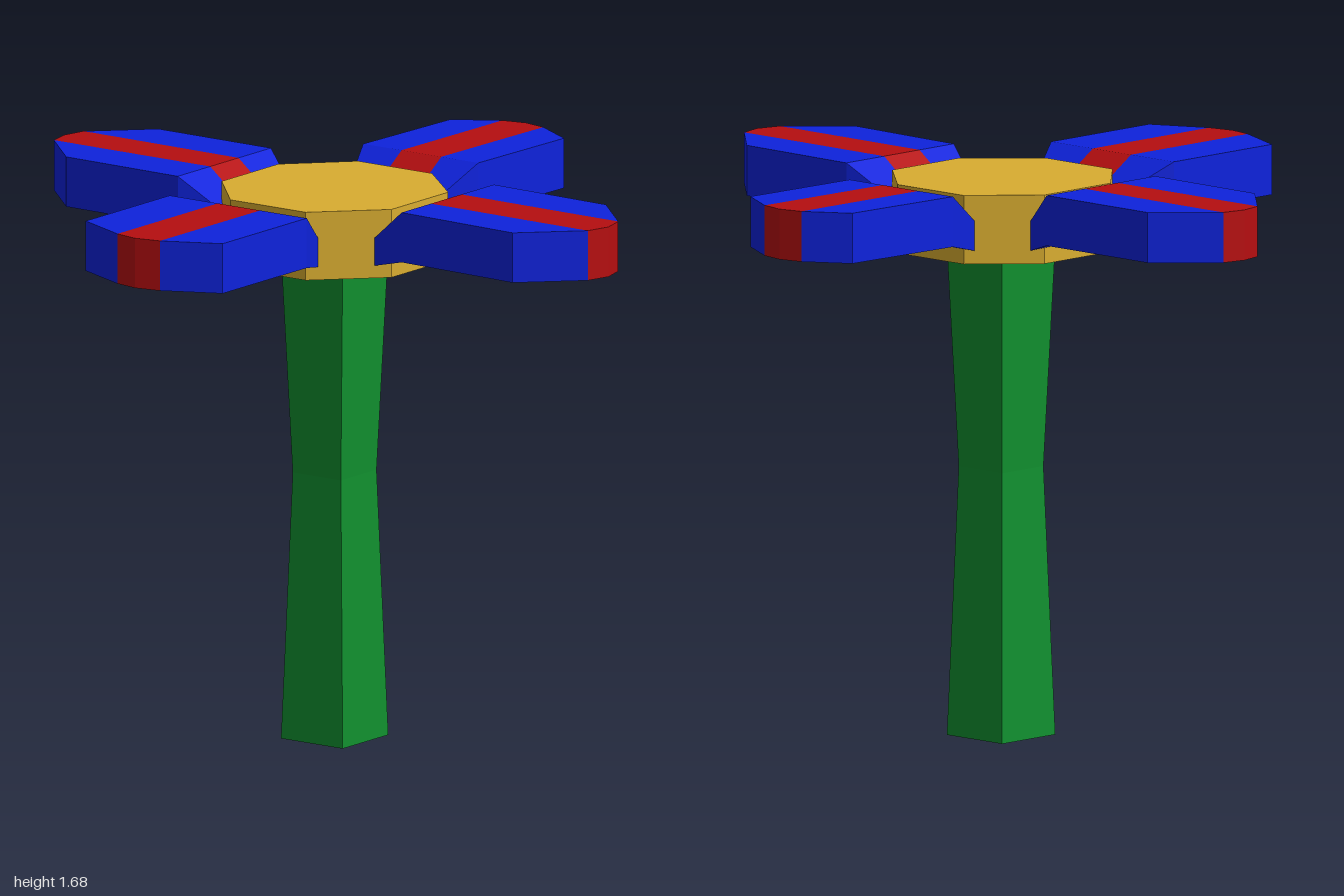
import * as THREE from 'three';

function makeMaterial(name, color) {
  const m = new THREE.MeshStandardMaterial({ color, flatShading: true, side: THREE.DoubleSide });
  m.name = name;
  return m;
}

// Mesh from convex polygons given as corner lists (counter-clockwise from outside)
function polygonMesh(name, polygons, material) {
  const pos = [];
  for (const p of polygons) {
    for (let i = 1; i < p.length - 1; i++) pos.push(...p[0], ...p[i], ...p[i + 1]);
  }
  const geo = new THREE.BufferGeometry();
  geo.setAttribute('position', new THREE.Float32BufferAttribute(pos, 3));
  geo.computeVertexNormals();
  const mesh = new THREE.Mesh(geo, material);
  mesh.name = name;
  return mesh;
}

// Petal along +z. Each row: [z, left, stripe left, stripe right, right, bottom y, top y]
function makePetal(name, rows, tip, blue, red) {
  const body = [], stripe = [];
  const low = (r, i) => [r[i], r[5], r[0]];
  const high = (r, i) => [r[i], r[6], r[0]];
  for (let k = 0; k < rows.length - 1; k++) {
    const a = rows[k], b = rows[k + 1];
    for (let i = 1; i < 4; i++) {
      (i === 2 ? stripe : body).push([high(a, i), high(b, i), high(b, i + 1), high(a, i + 1)]);
    }
    body.push([low(a, 1), low(a, 4), low(b, 4), low(b, 1)]);
    body.push([low(a, 1), low(b, 1), high(b, 1), high(a, 1)]);
    body.push([low(b, 4), low(a, 4), high(a, 4), high(b, 4)]);
  }
  // Inner end
  const s = rows[0], e = rows[rows.length - 1];
  body.push([low(s, 4), low(s, 1), high(s, 1), high(s, 4)]);
  // Pointed tip
  const tipLow = [tip[0], e[5], tip[1]], tipHigh = [tip[0], e[6], tip[1]];
  stripe.push([high(e, 1), tipHigh, high(e, 4)]);
  stripe.push([low(e, 1), tipLow, tipHigh, high(e, 1)]);
  stripe.push([tipLow, low(e, 4), high(e, 4), tipHigh]);
  body.push([low(e, 1), low(e, 4), tipLow]);

  const group = new THREE.Group();
  group.name = name;
  group.add(polygonMesh('petalBody', body, blue), polygonMesh('petalStripe', stripe, red));
  return group;
}

export function createModel() {
  const green = makeMaterial('stem green', 0x11902f);
  const gold = makeMaterial('hub gold', 0xd9ad30);
  const blue = makeMaterial('petal blue', 0x0e22dc);
  const red = makeMaterial('stripe red', 0xb50e10);
  const model = new THREE.Group();
  model.name = 'flower';

  // Square stem, open at the ends and pinched at the waist
  const stemGeo = new THREE.CylinderGeometry(1, 1, 1.457, 4, 2, true, Math.PI / 4);
  const p = stemGeo.attributes.position;
  for (let i = 0; i < p.count; i++) {
    const waist = Math.abs(p.getY(i)) < 0.1;
    const half = waist ? 0.088 : 0.1125;
    p.setXYZ(i, 0.022 + Math.sign(p.getX(i)) * half,
      waist ? 0.8 : p.getY(i) + 0.7285, -0.02 + Math.sign(p.getZ(i)) * half);
  }
  stemGeo.computeVertexNormals();
  const stem = new THREE.Mesh(stemGeo, green);
  stem.name = 'stem';
  model.add(stem);

  // Octagonal hub
  const outline = [[-0.13, -0.3], [0.15, -0.3], [0.32, -0.115], [0.32, 0.155],
    [0.15, 0.32], [-0.13, 0.32], [-0.31, 0.155], [-0.31, -0.12]];
  const shape = new THREE.Shape(outline.map(([x, y]) => new THREE.Vector2(x, y)));
  const hubGeo = new THREE.ExtrudeGeometry(shape, { depth: 0.205, bevelEnabled: false });
  hubGeo.rotateX(-Math.PI / 2);
  const hub = new THREE.Mesh(hubGeo, gold);
  hub.name = 'hub';
  hub.position.y = 1.455;
  model.add(hub);

  // Four petals: inner, shoulder, outer and tip rows, then the tip point
  const petals = [
    ['frontPetal', 0, [[0.25, -0.16, -0.07, 0.08, 0.175], [0.4, -0.215, -0.07, 0.08, 0.24],
      [0.82, -0.235, -0.078, 0.072, 0.225], [0.98, -0.08, -0.08, 0.07, 0.07]], [-0.005, 1]],
    ['leftPetal', Math.PI / 2, [[0.27, -0.13, -0.06, 0.085, 0.168], [0.44, -0.195, -0.06, 0.085, 0.225],
      [0.85, -0.205, -0.068, 0.08, 0.21], [0.93, -0.07, -0.07, 0.08, 0.08]], [0.005, 0.946]],
    ['backPetal', Math.PI, [[0.27, -0.17, -0.075, 0.065, 0.16], [0.41, -0.235, -0.075, 0.065, 0.225],
      [0.825, -0.24, -0.083, 0.062, 0.215], [0.985, -0.085, -0.085, 0.06, 0.06]], [-0.01, 1]],
    ['rightPetal', -Math.PI / 2, [[0.26, -0.175, -0.105, 0.05, 0.135], [0.44, -0.28, -0.105, 0.05, 0.22],
      [0.855, -0.28, -0.105, 0.05, 0.22], [0.935, -0.105, -0.105, 0.05, 0.05]], [-0.03, 0.95]],
  ];
  for (const [name, angle, rows, tip] of petals) {
    const full = rows.map((r, i) => [...r, i ? 1.53 : 1.488, i ? 1.68 : 1.565]);
    const petal = makePetal(name, full, tip, blue, red);
    petal.rotation.y = angle;
    model.add(petal);
  }
  return model;
}
